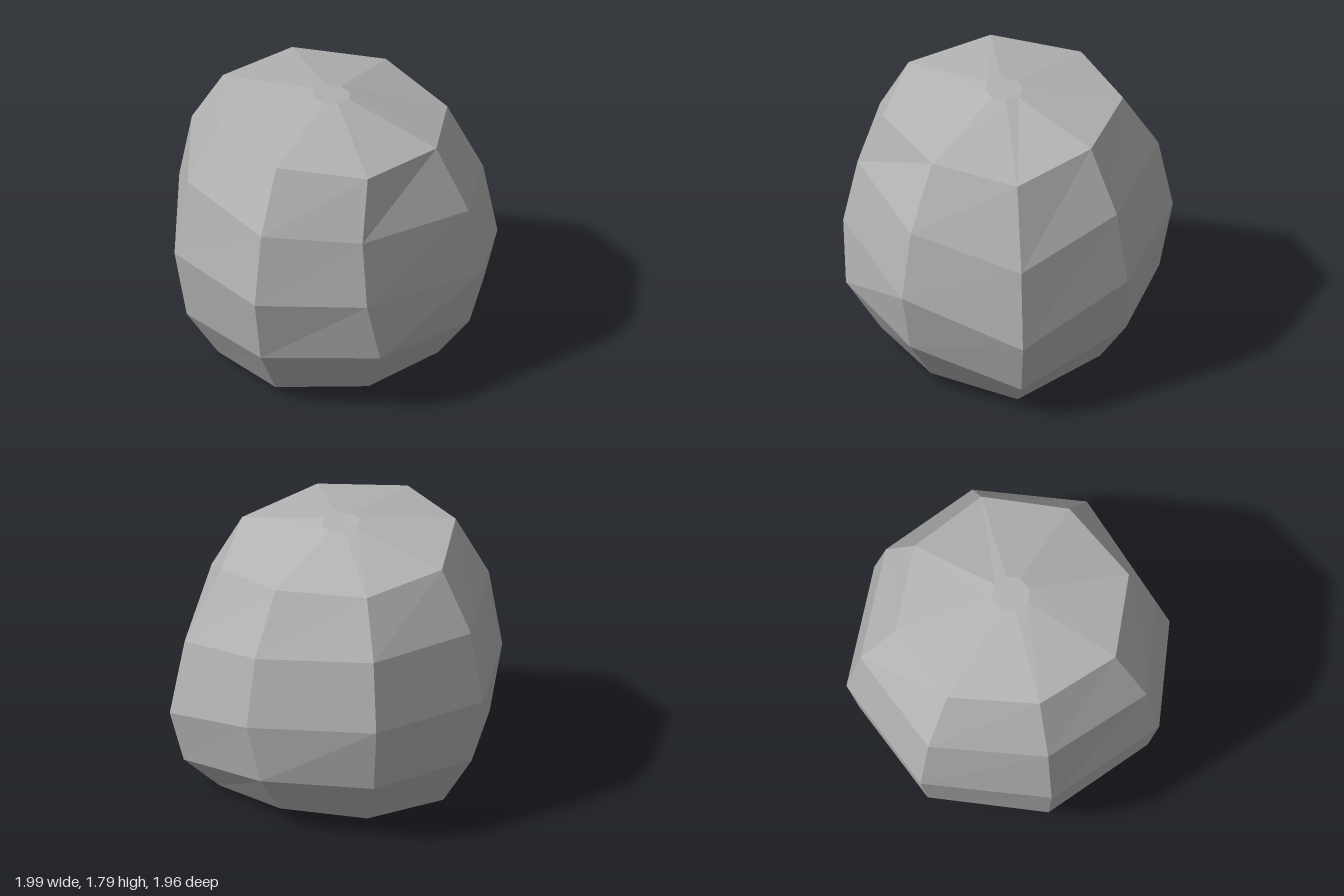
import * as THREE from 'three';

// Eight uneven ridges around the body, counter-clockwise seen from above:
// x and z at the waist, then heights from the bottom ring to the top ring
const RIDGES = [
  { x: -0.44, z: 0.89, y: [0.015, 0.34, 0.81, 1.33, 1.73] },
  { x: 0.36, z: 0.98, y: [0.06, 0.41, 0.85, 1.31, 1.69] },
  { x: 0.97, z: 0.455, y: [0.1, 0.45, 0.85, 1.27, 1.64], moved: { 2: [0.86, 0.5], 3: [0.78, 0.46] } },
  { x: 0.99, z: -0.365, y: [0.08, 0.38, 0.77, 1.2, 1.6] },
  { x: 0.5, z: -0.98, y: [0, 0.21, 0.55, 1.05, 1.54] },
  { x: -0.27, z: -0.98, y: [0.11, 0.4, 0.79, 1.24, 1.63], moved: { 0: [-0.25, -0.7], 1: [-0.31, -0.9] } },
  { x: -0.93, z: -0.48, y: [0.1, 0.43, 0.87, 1.32, 1.66] },
  { x: -1, z: 0.3, y: [0.06, 0.41, 0.85, 1.31, 1.69] },
];
// Ring size relative to the waist
const SCALE = [0.715, 0.92, 1, 0.915, 0.705];

function ring(level) {
  return RIDGES.map(({ x, z, y, moved }) => {
    const s = SCALE[level];
    const [px, pz] = (moved && moved[level]) || [x * s, z * s];
    return [px, y[level], pz];
  });
}

// Small tilted octagon at the crown
function hubRing() {
  return RIDGES.map(({ x, z }) => {
    const r = 0.12 / Math.hypot(x, z);
    const pz = -0.02 + z * r;
    return [0.015 + x * r, 1.787 + 0.08 * pz, pz];
  });
}

function facets(name, triangles, material) {
  const geometry = new THREE.BufferGeometry();
  geometry.setAttribute('position', new THREE.Float32BufferAttribute(triangles.flat(), 3));
  geometry.computeVertexNormals();
  const mesh = new THREE.Mesh(geometry, material);
  mesh.name = name;
  return mesh;
}

// Quads joining a lower ring to the ring above it
function band(lower, upper) {
  return lower.flatMap((a, i) => {
    const j = (i + 1) % lower.length;
    return [a, lower[j], upper[j], a, upper[j], upper[i]];
  });
}

// Fan closing a ring, facing up or down
function cap(points, centre, up) {
  return points.flatMap((a, i) => {
    const b = points[(i + 1) % points.length];
    return up ? [a, b, centre] : [b, a, centre];
  });
}

export function createModel() {
  const group = new THREE.Group();
  group.name = 'facetedBoulder';
  const stone = new THREE.MeshStandardMaterial({ color: 0xb4b4b4, flatShading: true });
  stone.name = 'stone grey';

  const rings = SCALE.map((_, level) => ring(level));
  const hub = hubRing();

  // Side walls, shallow crown, hub and underside
  const walls = rings.slice(1).flatMap((upper, i) => band(rings[i], upper));
  group.add(
    facets('sideWalls', walls, stone),
    facets('crown', band(rings[4], hub), stone),
    facets('crownHub', cap(hub, [0.015, 1.785, -0.02], true), stone),
    facets('underside', cap(rings[0], [0.02, 0.06, 0], false), stone),
  );
  return group;
}
